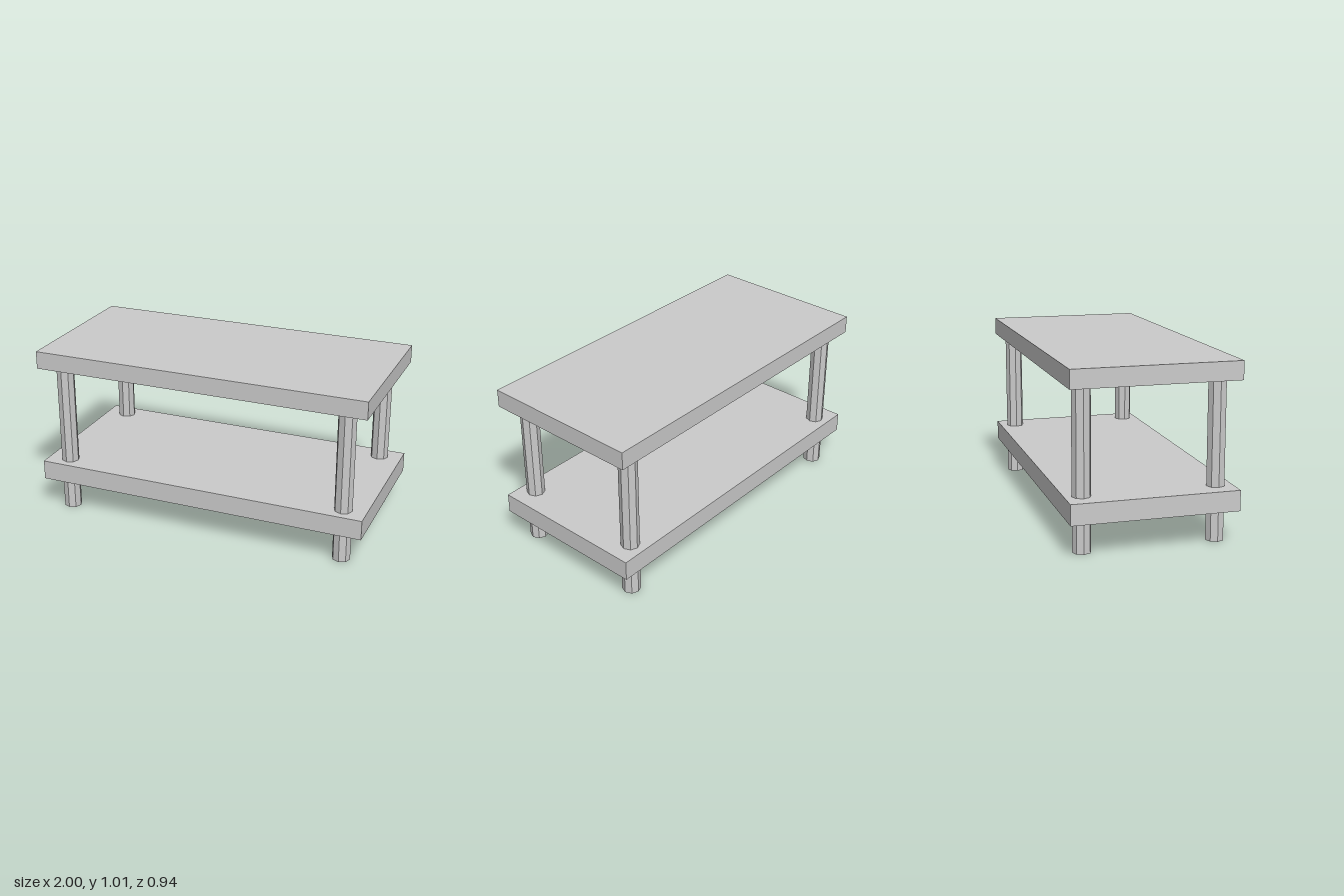
import * as THREE from 'three';

export function createModel() {
  const group = new THREE.Group();
  const material = new THREE.MeshStandardMaterial({ color: 0xcccccc, flatShading: true });

  const add = (name, geometry, x, y, z) => {
    const mesh = new THREE.Mesh(geometry, material);
    mesh.name = name;
    mesh.position.set(x, y, z);
    group.add(mesh);
  };

  // Horizontal board spanning the full footprint between two heights
  const board = (name, bottom, top) =>
    add(name, new THREE.BoxGeometry(2, top - bottom, 0.944), 0, (bottom + top) / 2, 0);

  board('tableTop', 0.91, 1.015);
  board('lowerShelf', 0.192, 0.309);

  // Four octagonal legs running through the shelf up to the table top
  const legHeight = 0.91;
  const legGeometry = new THREE.CylinderGeometry(0.053, 0.053, legHeight, 8);
  for (const [sx, side] of [[1, 'Left'], [-1, 'Right']]) {
    for (const [sz, end] of [[1, 'front'], [-1, 'back']]) {
      add(`${end}${side}Leg`, legGeometry, sx * 0.866, legHeight / 2, sz * 0.378);
    }
  }

  return group;
}
